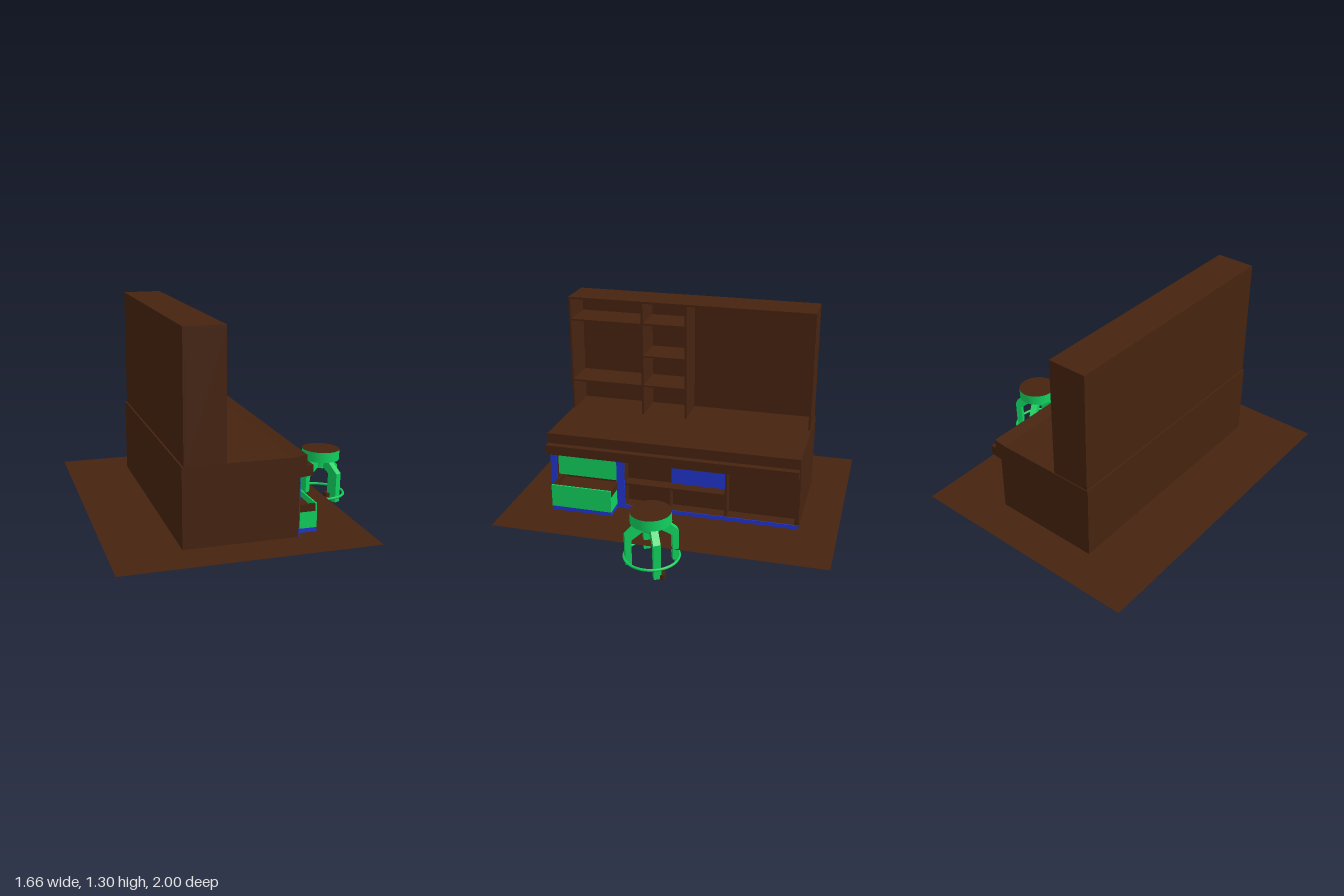
import * as THREE from 'three';

const mat = (name, color, side = THREE.FrontSide) => {
  const m = new THREE.MeshStandardMaterial({ color, side });
  m.name = name;
  return m;
};

export function createModel() {
  const root = new THREE.Group();
  root.name = 'deskWithStool';
  const brown = mat('dark brown wood', 0x46230f);
  const green = mat('bright green', 0x11d15f);
  const blue = mat('blue trim', 0x2236d0);
  const floorBrown = mat('brown floor', 0x46230f, THREE.DoubleSide);

  const add = (parent, name, geo, material) => {
    const m = new THREE.Mesh(geo, material);
    m.name = name;
    parent.add(m);
    return m;
  };
  // box given by its limits on each axis
  const box = (parent, name, material, x0, x1, y0, y1, z0, z1) => {
    const m = add(parent, name, new THREE.BoxGeometry(x1 - x0, y1 - y0, z1 - z0), material);
    m.position.set((x0 + x1) / 2, (y0 + y1) / 2, (z0 + z1) / 2);
    return m;
  };
  const extrude = (points, depth) => new THREE.ExtrudeGeometry(
    new THREE.Shape(points.map(p => new THREE.Vector2(...p))), { depth, bevelEnabled: false });

  // floor sheet
  const floor = add(root, 'floor', new THREE.PlaneGeometry(1.46, 2), floorBrown);
  floor.rotation.x = -Math.PI / 2;
  floor.position.set(-0.1, 0.108, 0);

  // desk carcass, end panels and worktop
  const desk = new THREE.Group();
  desk.name = 'desk';
  root.add(desk);
  box(desk, 'carcass', brown, -0.43, 0.15, 0.11, 0.51, -0.77, 0.77);
  box(desk, 'endPanelRight', brown, 0.15, 0.23, 0.11, 0.51, 0.73, 0.77);
  box(desk, 'endPanelLeft', brown, 0.15, 0.23, 0.11, 0.51, -0.77, -0.745);
  const top = add(desk, 'worktop', extrude(
    [[-0.43, 0.51], [0.27, 0.51], [0.27, 0.578], [0.19, 0.569], [-0.43, 0.569]], 1.54), brown);
  top.position.z = -0.77;
  const moulding = add(desk, 'frontMoulding', extrude(
    [[0.15, 0.45], [0.23, 0.45], [0.31, 0.457], [0.31, 0.515], [0.15, 0.515]], 1.53), brown);
  moulding.position.z = -0.765;

  // under-counter compartments
  box(desk, 'plinth', brown, 0.15, 0.229, 0.11, 0.133, -0.745, 0.73);
  box(desk, 'plinthTrim', blue, 0.229, 0.234, 0.11, 0.135, -0.77, 0.77);
  box(desk, 'postTrimRight', blue, 0.229, 0.234, 0.135, 0.45, 0.73, 0.77);
  box(desk, 'drawerPost', brown, 0.15, 0.229, 0.133, 0.455, 0.295, 0.345);
  box(desk, 'drawerPostTrim', blue, 0.229, 0.234, 0.135, 0.45, 0.295, 0.345);
  box(desk, 'shelf', brown, 0.15, 0.228, 0.268, 0.28, -0.325, 0.295);
  box(desk, 'lowerDivider', brown, 0.15, 0.228, 0.133, 0.27, 0.012, 0.024);
  box(desk, 'cabinetDivider', brown, 0.15, 0.228, 0.133, 0.455, -0.337, -0.325);
  box(desk, 'blueBackPanel', blue, 0.15, 0.158, 0.28, 0.452, -0.325, 0.02);
  box(desk, 'upperDrawerFront', green, 0.15, 0.205, 0.28, 0.455, 0.345, 0.73);

  // drawer pulled open
  const drawer = new THREE.Group();
  drawer.name = 'openDrawer';
  root.add(drawer);
  box(drawer, 'drawerBase', blue, 0.15, 0.355, 0.111, 0.136, 0.345, 0.722);
  box(drawer, 'drawerBody', green, 0.15, 0.355, 0.136, 0.232, 0.345, 0.722);
  box(drawer, 'drawerLining', brown, 0.15, 0.345, 0.232, 0.24, 0.345, 0.722);
  box(drawer, 'drawerFrontLip', green, 0.345, 0.355, 0.232, 0.277, 0.345, 0.722);
  for (const z of [0.345, 0.707])
    box(drawer, 'drawerRail', brown, 0.15, 0.345, 0.24, 0.275, z, z + 0.015);

  // tall hutch with an open bay and two shelf columns
  const hutch = new THREE.Group();
  hutch.name = 'hutch';
  root.add(hutch);
  box(hutch, 'hutchBack', brown, -0.42, -0.405, 0.565, 1.305, -0.765, 0.77);
  box(hutch, 'hutchTop', brown, -0.405, -0.185, 1.293, 1.305, -0.765, 0.77);
  for (const [name, z] of [['hutchEnd', 0.758], ['hutchEnd', -0.765], ['hutchDivider', 0.292], ['hutchDivider', 0.014]])
    box(hutch, name, brown, -0.405, -0.185, 0.565, 1.293, z, z + 0.012);
  for (const y of [0.765, 1.165])
    box(hutch, 'wideShelf', brown, -0.405, -0.186, y - 0.01, y, 0.304, 0.758);
  for (const y of [0.765, 0.96, 1.168])
    box(hutch, 'narrowShelf', brown, -0.405, -0.186, y - 0.01, y, 0.026, 0.292);

  // slightly tilted stool
  const stool = new THREE.Group();
  stool.name = 'stool';
  stool.position.set(0.665, 0, 0);
  root.add(stool);
  const tilted = new THREE.Group();
  tilted.name = 'stoolFrame';
  tilted.rotation.z = -0.03;
  stool.add(tilted);
  const seat = add(tilted, 'seat', new THREE.CylinderGeometry(0.119, 0.119, 0.064, 32), [green, brown, green]);
  seat.position.y = 0.333;
  const hub = add(tilted, 'seatHub', new THREE.CylinderGeometry(0.05, 0.05, 0.06, 12), green);
  hub.position.y = 0.275;
  const ring = add(tilted, 'footRing', new THREE.TorusGeometry(0.158, 0.008, 6, 32), green);
  ring.rotation.x = Math.PI / 2;
  ring.position.y = 0.077;
  [0.038, 0.012, 0.045, 0.046].forEach((bottom, i) => {
    const geo = extrude([[0.03, 0.302], [0.075, 0.302], [0.154, 0.23], [0.154, bottom],
      [0.118, bottom], [0.118, 0.2], [0.03, 0.262]], 0.042);
    geo.translate(0, 0, -0.021);
    add(tilted, 'leg', geo, green).rotation.y = (118 - i * 90) * Math.PI / 180;
  });
  // foot cap and levelling pin
  box(root, 'footCap', brown, 0.745, 0.795, 0.003, 0.034, -0.105, -0.055);
  box(root, 'levellingPin', green, 0.597, 0.603, 0, 0.05, -0.123, -0.117);
  return root;
}
